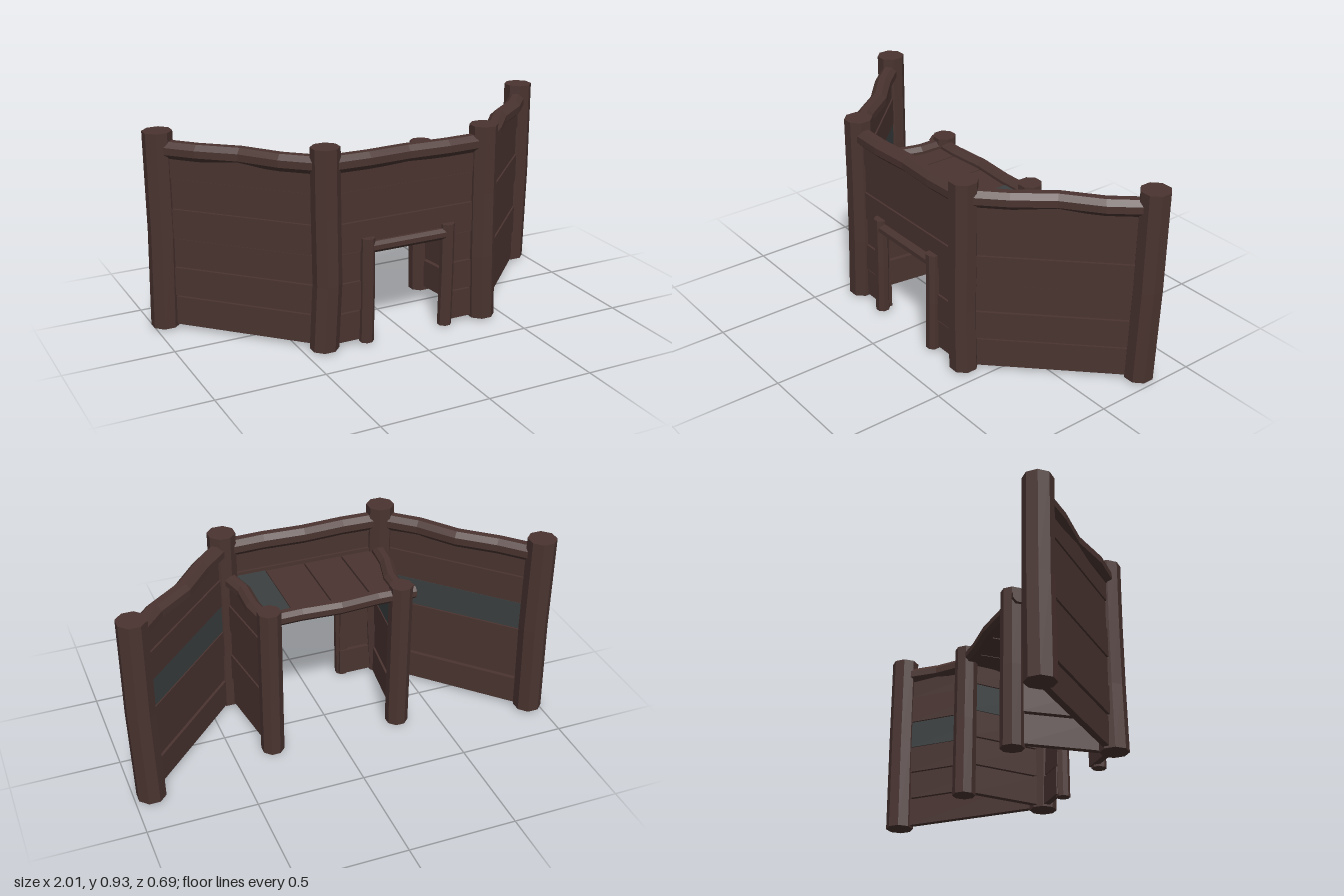
import * as THREE from 'three';

const wood = new THREE.MeshStandardMaterial({ color: 0x4a3430, flatShading: true });
const slate = new THREE.MeshStandardMaterial({ color: 0x3b4040, flatShading: true });

// Eight-sided log between two points; bends holds a [x, z] shift for each ring, start to end
function log(name, a, b, radius, bends) {
  const from = new THREE.Vector3(...a), to = new THREE.Vector3(...b);
  const length = from.distanceTo(to), segments = bends.length - 1;
  const geo = new THREE.CylinderGeometry(radius, radius, length, 8, segments);
  geo.rotateY(Math.PI / 8);
  const pos = geo.attributes.position;
  for (let i = 0; i < pos.count; i++) {
    const ring = Math.round((pos.getY(i) / length + 0.5) * segments);
    pos.setX(i, pos.getX(i) + bends[ring][0]);
    pos.setZ(i, pos.getZ(i) + bends[ring][1]);
  }
  const mesh = new THREE.Mesh(geo, wood);
  mesh.name = name;
  mesh.position.copy(from).add(to).multiplyScalar(0.5);
  mesh.quaternion.setFromUnitVectors(new THREE.Vector3(0, 1, 0), to.sub(from).normalize());
  return mesh;
}

function board(name, x0, x1, y0, y1, z, depth, material = wood) {
  const mesh = new THREE.Mesh(new THREE.BoxGeometry(x1 - x0, y1 - y0, depth), material);
  mesh.name = name;
  mesh.position.set((x0 + x1) / 2, (y0 + y1) / 2, z);
  return mesh;
}

const ROWS = [[0.02, 0.156], [0.166, 0.3], [0.304, 0.437], [0.441, 0.578], [0.581, 0.718], [0.721, 0.85]];
const SLATE_ROW = 3;

// Plank wall from a to b ([x, z]); its local +z is the outside, the slate board faces inside
function wall(name, a, b, gap, rows, railY, railRadius, bends, doorHalf = 0) {
  const group = new THREE.Group();
  group.name = name;
  const dx = b[0] - a[0], dz = b[1] - a[1], half = Math.hypot(dx, dz) / 2;
  group.position.set((a[0] + b[0]) / 2, 0, (a[1] + b[1]) / 2);
  group.rotation.y = Math.atan2(-dz, dx);
  ROWS.slice(0, rows).forEach(([y0, y1], i) => {
    const e = half - gap, z = (i % 2 ? 1 : -1) * 0.003;
    const spans = doorHalf && i < SLATE_ROW ? [[-e, -doorHalf], [doorHalf, e]] : [[-e, e]];
    for (const [x0, x1] of spans) group.add(board('plank', x0, x1, y0, y1, z, 0.03));
    if (i === SLATE_ROW) group.add(board('slateBoard', -e, e, y0, y1, z - 0.016, 0.004, slate));
  });
  group.add(log('rail', [-half, railY, 0], [half, railY, 0], railRadius, bends));
  return group;
}

export function createModel() {
  const model = new THREE.Group();
  model.name = 'palisade';

  for (const s of [-1, 1]) {
    // Tall posts at the wing ends and front corners
    model.add(log('outerPost', [s * 0.935, 0.01, -0.28], [s * 0.935, 0.93, -0.28], 0.067,
      [[-0.012, 0], [0, 0], [0, 0]]));
    model.add(log('frontPost', [s * 0.388, 0.01, 0.28], [s * 0.388, 0.93, 0.28], 0.065,
      [[s < 0 ? -0.018 : 0.008, 0.002], [0, 0.004], [0, 0], [0, 0]]));
    // Lower posts at the back of the platform
    model.add(log('backPost', [s * 0.312, 0, -0.15], [s * 0.312, 0.75, -0.15], 0.054,
      [[0, 0], [0, 0], [0, 0]]));
    // Doorway posts
    model.add(log('doorPost', [s * 0.2, 0.01, 0.3], [s * 0.2, 0.5, 0.3], 0.033,
      [[-0.008, 0], [-0.002, 0], [0, 0]]));
  }

  // Angled wings
  const wave = [[0, 0], [0, 0.004], [0, -0.014], [0, 0.012], [0, 0]];
  model.add(wall('rightWing', [-0.935, -0.28], [-0.388, 0.28], 0.05, 6, 0.85, 0.042, wave));
  model.add(wall('leftWing', [0.388, 0.28], [0.935, -0.28], 0.05, 6, 0.85, 0.042, wave));

  // Front wall with a doorway
  model.add(wall('frontWall', [-0.388, 0.28], [0.388, 0.28], 0.04, 6, 0.85, 0.042,
    [[0, 0], [0, 0.006], [0, -0.004], [0, 0.006], [0, 0]], 0.185));
  model.add(log('doorLintel', [-0.2, 0.455, 0.3], [0.2, 0.455, 0.3], 0.028, [[0, 0], [0, 0]]));

  // Side walls below the platform
  const sideWave = [[0, 0], [0, -0.016], [0, 0.004], [0, 0]];
  model.add(wall('rightSideWall', [-0.32, -0.15], [-0.372, 0.26], 0.03, 5, 0.7, 0.035, sideWave));
  model.add(wall('leftSideWall', [0.372, 0.26], [0.32, -0.15], 0.03, 5, 0.7, 0.035, sideWave));

  // Back rail, poking past one post
  model.add(log('backRail', [-0.38, 0.7, -0.142], [0.34, 0.7, -0.142], 0.034,
    [[0, 0], [0, 0.004], [0, -0.008], [0, 0.004], [0, 0]]));

  // Platform boards, the last one topped with slate
  [[-0.335, -0.189], [-0.181, -0.003], [0.004, 0.187], [0.192, 0.335]].forEach(([x0, x1], i) => {
    const z0 = -0.14, z1 = 0.265, mid = (z0 + z1) / 2;
    model.add(board('floorBoard', x0, x1, 0.675, 0.7, mid, z1 - z0));
    if (i === 3) model.add(board('slateFloorTop', x0, x1, 0.699, 0.703, mid, z1 - z0, slate));
  });

  return model;
}
